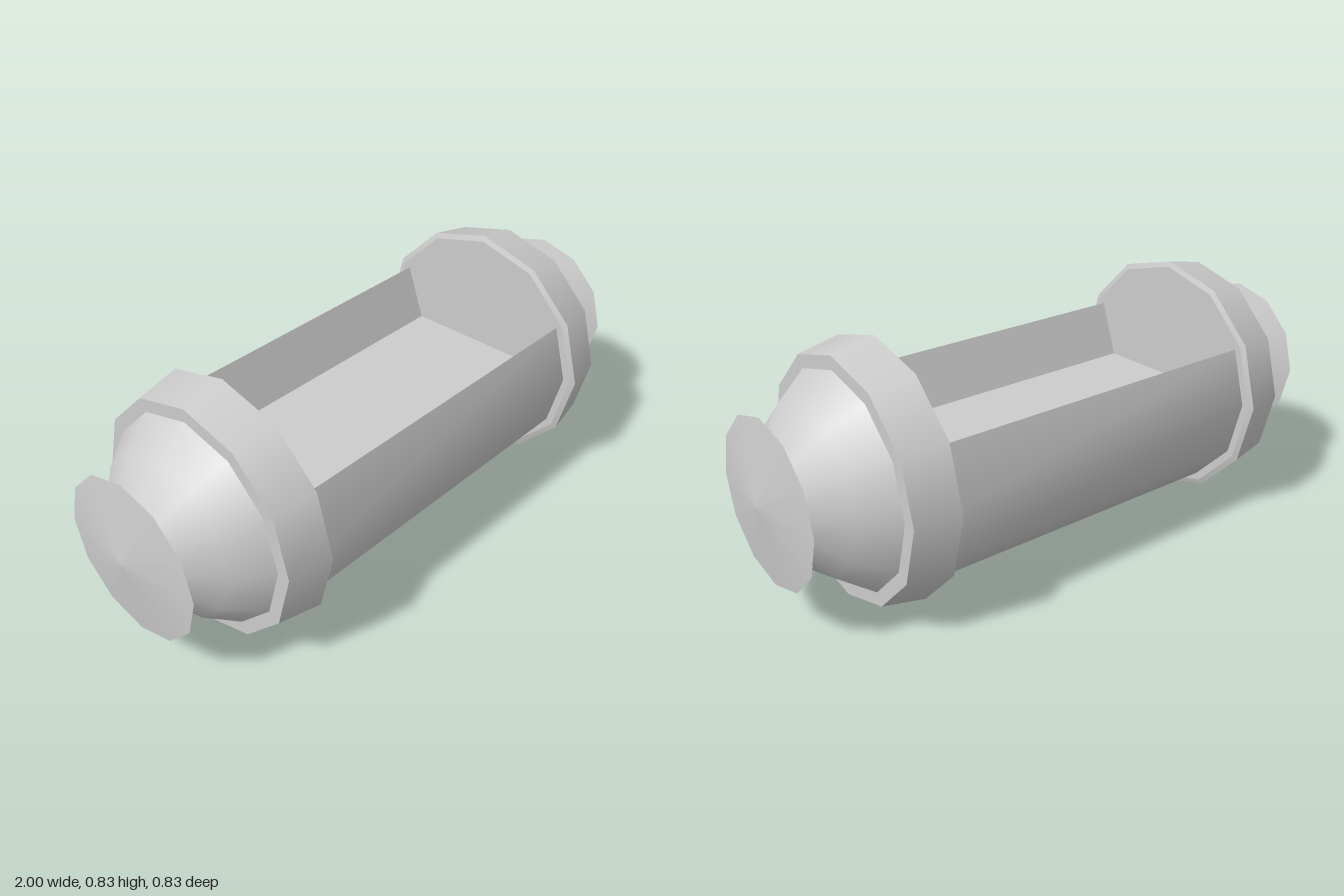
import * as THREE from 'three';
import { toCreasedNormals } from 'three/addons/utils/BufferGeometryUtils.js';

const SIDES = 12;
const AXIS_Y = 0.414;
const material = new THREE.MeshStandardMaterial({ color: 0xcccccc });

// Surface of revolution about the x axis; profile points are [radius, x]
function turned(name, profile) {
  const points = profile.map(([r, x]) => new THREE.Vector2(r, x));
  const geometry = new THREE.LatheGeometry(points, SIDES);
  geometry.rotateZ(-Math.PI / 2);
  const mesh = new THREE.Mesh(geometry, material);
  mesh.name = name;
  return mesh;
}

// One end: flanged collar, dome and flared knob, pointing along +x
function createEnd(name) {
  const end = new THREE.Group();
  end.name = name;
  end.add(
    turned('collarInnerFace', [[0, 0.585], [0.395, 0.585]]),
    turned('collarLip', [[0.395, 0.585], [0.413, 0.592]]),
    turned('collarBand', [[0.413, 0.592], [0.385, 0.735]]),
    turned('collarStep', [[0.385, 0.735], [0.342, 0.735]]),
    turned('dome', [[0.342, 0.735], [0.26, 0.845], [0.14, 0.93]]),
    turned('knobFlare', [[0.14, 0.93], [0.262, 0.965]]),
    turned('knobFace', [[0.262, 0.965], [0, 1]])
  );
  return end;
}

// Open-topped body: round underside with a flat-floored channel
function createTrough() {
  const radius = 0.37, halfLength = 0.59;
  const section = [];
  for (let i = 1; i >= -7; i--) {
    const a = (i * Math.PI) / 6;
    section.push(new THREE.Vector2(radius * Math.cos(a), radius * Math.sin(a)));
  }
  section.push(new THREE.Vector2(-0.258, 0.005), new THREE.Vector2(0.258, 0.005));
  const extruded = new THREE.ExtrudeGeometry(new THREE.Shape(section), {
    depth: halfLength * 2, bevelEnabled: false
  });
  extruded.translate(0, 0, -halfLength);
  extruded.rotateY(Math.PI / 2);
  const mesh = new THREE.Mesh(toCreasedNormals(extruded, 0.6), material);
  mesh.name = 'trough';
  return mesh;
}

export function createModel() {
  const model = new THREE.Group();
  model.name = 'troughCapsule';
  const leftEnd = createEnd('leftEnd');
  const rightEnd = createEnd('rightEnd');
  rightEnd.rotation.y = Math.PI;
  for (const part of [createTrough(), leftEnd, rightEnd]) {
    part.position.y = AXIS_Y;
    model.add(part);
  }
  return model;
}
